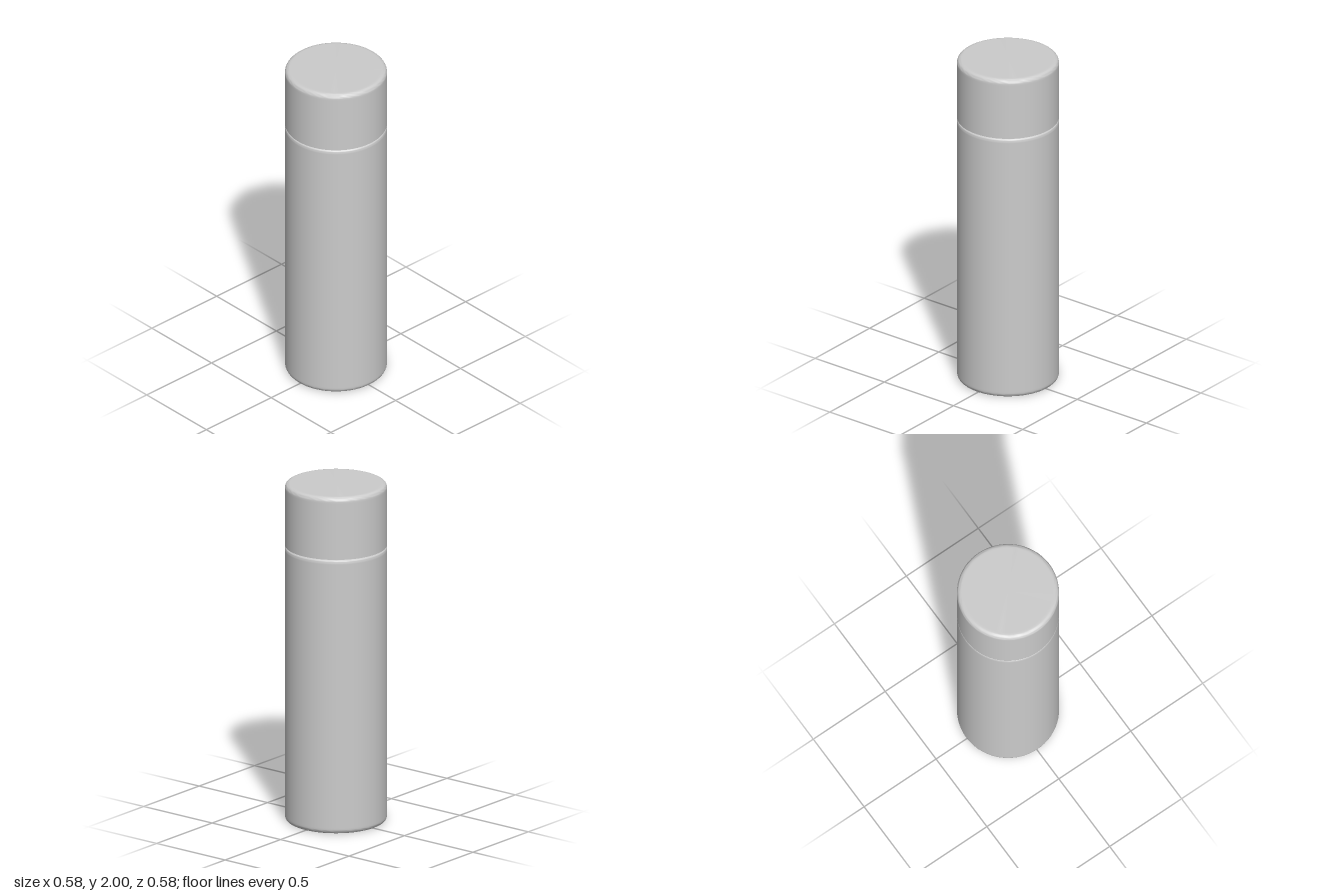
import * as THREE from 'three';
import { toCreasedNormals } from 'three/addons/utils/BufferGeometryUtils.js';

const RADIUS = 0.29;
const SIDES = 64;
const material = new THREE.MeshStandardMaterial({ color: 0xcccccc });

// Quarter-round corner points, from angle a0 to a1 (degrees)
function corner(cx, cy, r, a0, a1, steps = 5) {
  return Array.from({ length: steps + 1 }, (_, i) => {
    const a = THREE.MathUtils.degToRad(a0 + ((a1 - a0) * i) / steps);
    return new THREE.Vector2(cx + r * Math.cos(a), cy + r * Math.sin(a));
  });
}

// Closed round solid with rounded bottom and top edges (0 = sharp)
function roundSolid(name, radius, y0, y1, bottomR, topR) {
  const p = (x, y) => new THREE.Vector2(x, y);
  const support = 0.01; // extra rings keep the flats and walls evenly shaded
  const bottom = bottomR
    ? [p(radius - bottomR - support, y0), ...corner(radius - bottomR, y0 + bottomR, bottomR, -90, 0)]
    : [p(radius, y0)];
  const top = topR
    ? [...corner(radius - topR, y1 - topR, topR, 0, 90), p(radius - topR - support, y1)]
    : [p(radius, y1)];
  const profile = [
    p(0, y0), ...bottom,
    p(radius, y0 + bottomR + support), p(radius, y1 - topR - support),
    ...top, p(0, y1),
  ];
  const geometry = toCreasedNormals(new THREE.LatheGeometry(profile, SIDES), Math.PI / 4);
  const mesh = new THREE.Mesh(geometry, material);
  mesh.name = name;
  return mesh;
}

export function createModel() {
  const group = new THREE.Group();
  group.name = 'bottle';
  group.add(
    roundSolid('body', RADIUS, 0, 1.628, 0.025, 0.015),
    roundSolid('neck', 0.265, 1.6, 1.66, 0, 0), // joins body and cap inside the seam
    roundSolid('cap', RADIUS, 1.632, 2, 0, 0.025),
  );
  return group;
}
